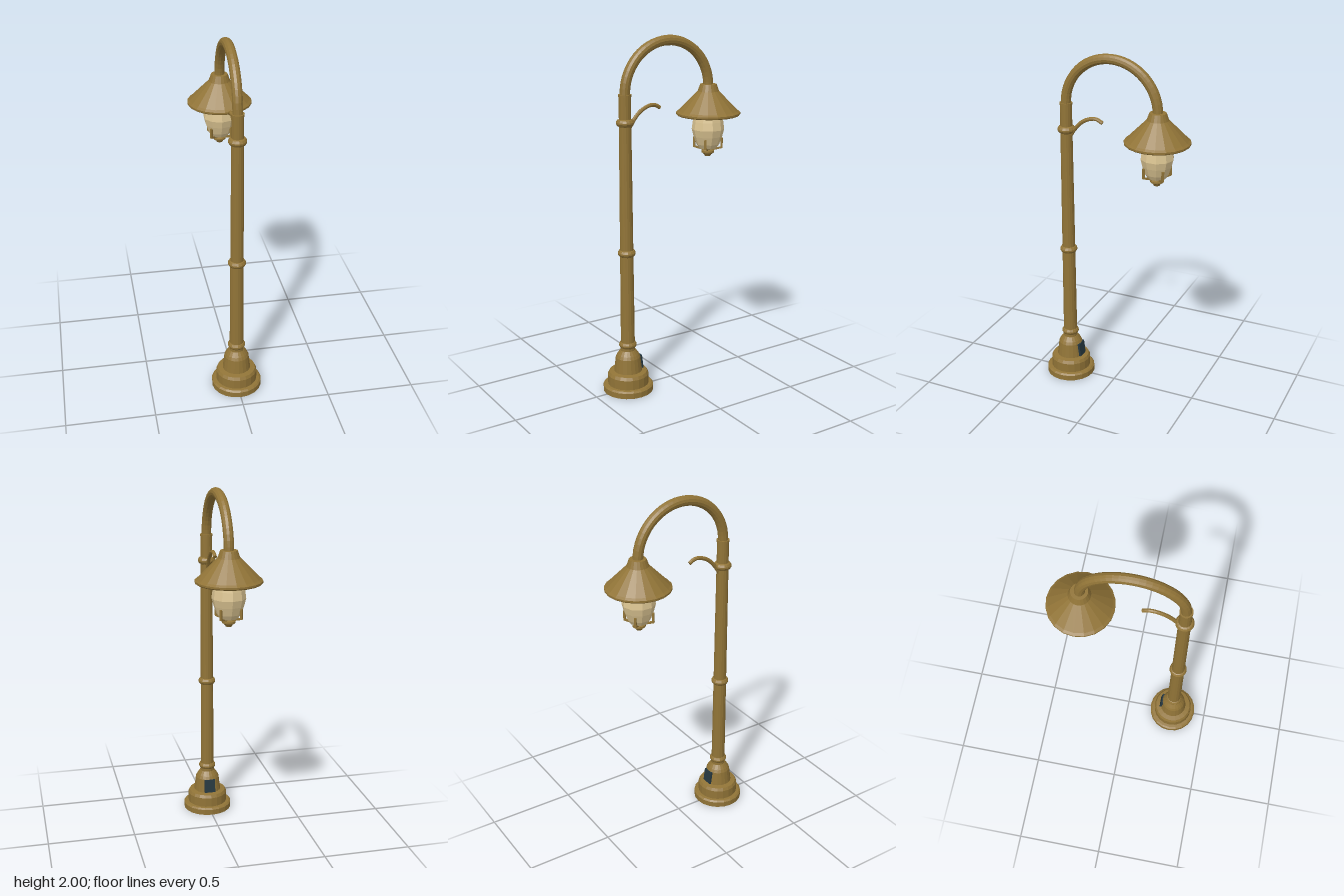
import * as THREE from 'three';

const bronze = new THREE.MeshStandardMaterial({ color: 0x917437, flatShading: true });
bronze.name = 'bronze';
const glass = new THREE.MeshStandardMaterial({ color: 0xdcc592, flatShading: true });
glass.name = 'frosted glass';
const slate = new THREE.MeshStandardMaterial({ color: 0x263840, flatShading: true });
slate.name = 'dark slate';

const POST_Z = 0.29, LAMP_Z = -0.254;

export function createModel() {
  const model = new THREE.Group();
  model.name = 'streetLamp';

  function add(parent, name, geometry, material, x = 0, y = 0, z = 0) {
    const mesh = new THREE.Mesh(geometry, material);
    mesh.name = name;
    mesh.position.set(x, y, z);
    parent.add(mesh);
    return mesh;
  }
  // Profiles are [radius, height] pairs, listed from the bottom up
  const lathe = (profile, sides = 20) =>
    new THREE.LatheGeometry(profile.map(([r, y]) => new THREE.Vector2(r, y)), sides);

  const post = new THREE.Group();
  post.name = 'post';
  post.position.z = POST_Z;
  model.add(post);

  // Stepped foot and bell-shaped pedestal
  add(post, 'base', lathe([
    [0, 0], [0.143, 0], [0.143, 0.032], [0.133, 0.04], [0.117, 0.042], [0.117, 0.097],
    [0.108, 0.114], [0.08, 0.118], [0.07, 0.2], [0.062, 0.217], [0.044, 0.243], [0, 0.243],
  ]), bronze);

  // Tapering shaft with a socket at the top
  add(post, 'shaft', lathe([
    [0.042, 0.24], [0.04, 0.29], [0.033, 1.69], [0.036, 1.69], [0.036, 1.702], [0, 1.702],
  ], 16), bronze);

  // Decorative rings
  for (const y of [0.275, 0.82, 1.55]) {
    add(post, 'shaftRing', lathe([
      [0.036, -0.02], [0.043, -0.016], [0.05, -0.004], [0.05, 0.004], [0.043, 0.016], [0.034, 0.02],
    ], 16), bronze, 0, y, 0);
  }

  // Access door on the back of the pedestal, leaning with its side
  const door = add(post, 'accessDoor', new THREE.BoxGeometry(0.064, 0.08, 0.02), slate, 0, 0.16, -0.069);
  door.rotation.x = 0.12;

  // Semicircular gooseneck
  const arc = [];
  const midZ = (POST_Z + LAMP_Z) / 2, reach = (POST_Z - LAMP_Z) / 2;
  for (let i = 0; i <= 16; i++) {
    const a = (i / 16) * Math.PI;
    arc.push(new THREE.Vector3(0, 1.7 + reach * Math.sin(a), midZ + reach * Math.cos(a)));
  }
  add(model, 'gooseneck', new THREE.TubeGeometry(new THREE.CatmullRomCurve3(arc), 28, 0.028, 12), bronze);

  // Small curled bracket with a closed tip
  const curl = new THREE.CatmullRomCurve3([
    [1.51, 0.268], [1.56, 0.235], [1.605, 0.19], [1.63, 0.13], [1.628, 0.098], [1.612, 0.07],
  ].map(([y, z]) => new THREE.Vector3(0, y, z)));
  add(model, 'bracket', new THREE.TubeGeometry(curl, 14, 0.011, 8), bronze);
  const tip = add(model, 'bracketTip', new THREE.CircleGeometry(0.011, 8), bronze, 0, 1.612, 0.07);
  tip.lookAt(curl.getPoint(1).add(curl.getTangent(1)));

  const lamp = new THREE.Group();
  lamp.name = 'lamp';
  lamp.position.z = LAMP_Z;
  model.add(lamp);

  // Conical shade with a rolled rim and closed underside
  add(lamp, 'shade', lathe([
    [0, 1.54], [0.174, 1.54], [0.181, 1.546], [0.181, 1.556], [0.168, 1.566],
    [0.06, 1.675], [0.046, 1.714], [0, 1.716],
  ], 20), bronze);

  // Collar and glass globe
  add(lamp, 'collar', lathe([[0.079, 1.525], [0.083, 1.525], [0.083, 1.542]], 16), bronze);
  add(lamp, 'globe', lathe([
    [0, 1.345], [0.05, 1.35], [0.066, 1.375], [0.082, 1.42], [0.092, 1.46], [0.086, 1.505], [0.079, 1.54],
  ], 10), glass);

  // Four prongs holding the globe
  for (let i = 0; i < 4; i++) {
    const a = Math.PI / 4 + (i * Math.PI) / 2;
    const prong = new THREE.Group();
    prong.name = 'prong';
    prong.rotation.y = a;
    lamp.add(prong);
    add(prong, 'prongUpright', new THREE.BoxGeometry(0.012, 0.055, 0.012), bronze, 0.079, 1.383, 0);
    const foot = add(prong, 'prongFoot', new THREE.BoxGeometry(0.06, 0.01, 0.012), bronze, 0.053, 1.35, 0);
    foot.rotation.z = 0.25;
  }

  // Finial under the globe
  add(lamp, 'finial', lathe([
    [0, 1.303], [0.016, 1.305], [0.022, 1.315], [0.036, 1.325], [0.036, 1.335], [0.02, 1.342], [0.028, 1.352], [0, 1.352],
  ], 12), bronze);

  return model;
}
